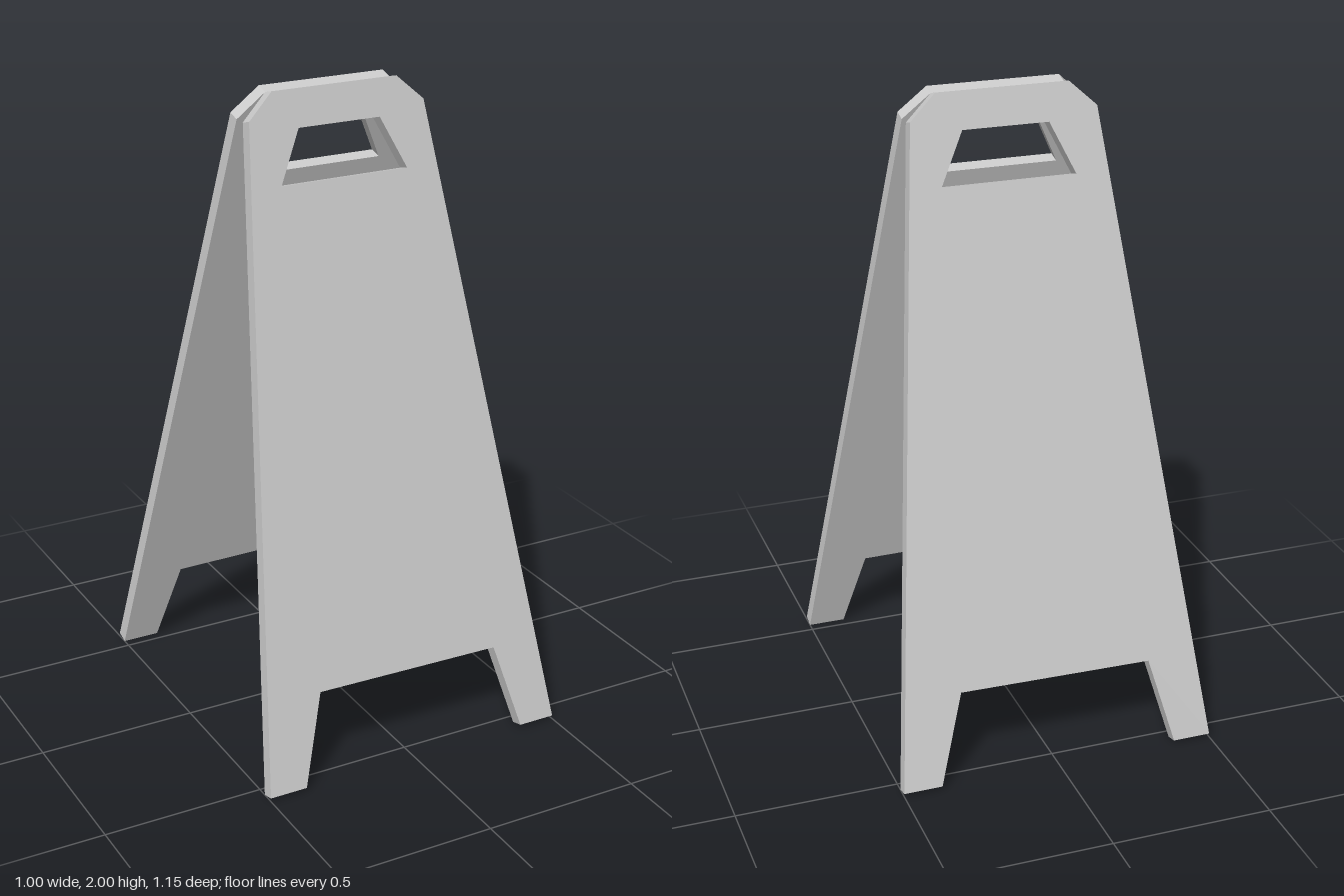
import * as THREE from 'three';

const TILT = THREE.MathUtils.degToRad(15);
const LENGTH = 2.059;    // panel length along its slope
const THICKNESS = 0.043;

const toPoints = (list) => list.map(([x, y]) => new THREE.Vector2(x, y));

// Tapered board with clipped top corners, two feet and a handle slot
function panelGeometry() {
  const shape = new THREE.Shape(toPoints([
    [-0.5, 0], [-0.38, 0], [-0.295, 0.278], [0.315, 0.27], [0.38, 0], [0.5, 0],
    [0.29, 1.981], [0.207, LENGTH], [-0.207, LENGTH], [-0.29, 1.981],
  ]));
  shape.holes.push(new THREE.Path(toPoints([
    [-0.213, 1.785], [-0.135, 1.945], [0.135, 1.945], [0.207, 1.785],
  ])));
  const geometry = new THREE.ExtrudeGeometry(shape, { depth: THICKNESS, bevelEnabled: false });
  // Lean the board so its inner top edge meets the centre line
  geometry.rotateX(-TILT);
  geometry.translate(0, 0, LENGTH * Math.sin(TILT));
  return geometry;
}

export function createModel() {
  const model = new THREE.Group();
  model.name = 'foldingFloorSign';
  const material = new THREE.MeshStandardMaterial({ color: 0xcccccc, flatShading: true });
  const geometry = panelGeometry();

  // The back panel is the front one turned half around
  ['frontPanel', 'backPanel'].forEach((name, i) => {
    const panel = new THREE.Mesh(geometry, material);
    panel.name = name;
    panel.rotation.y = i * Math.PI;
    model.add(panel);
  });
  return model;
}
